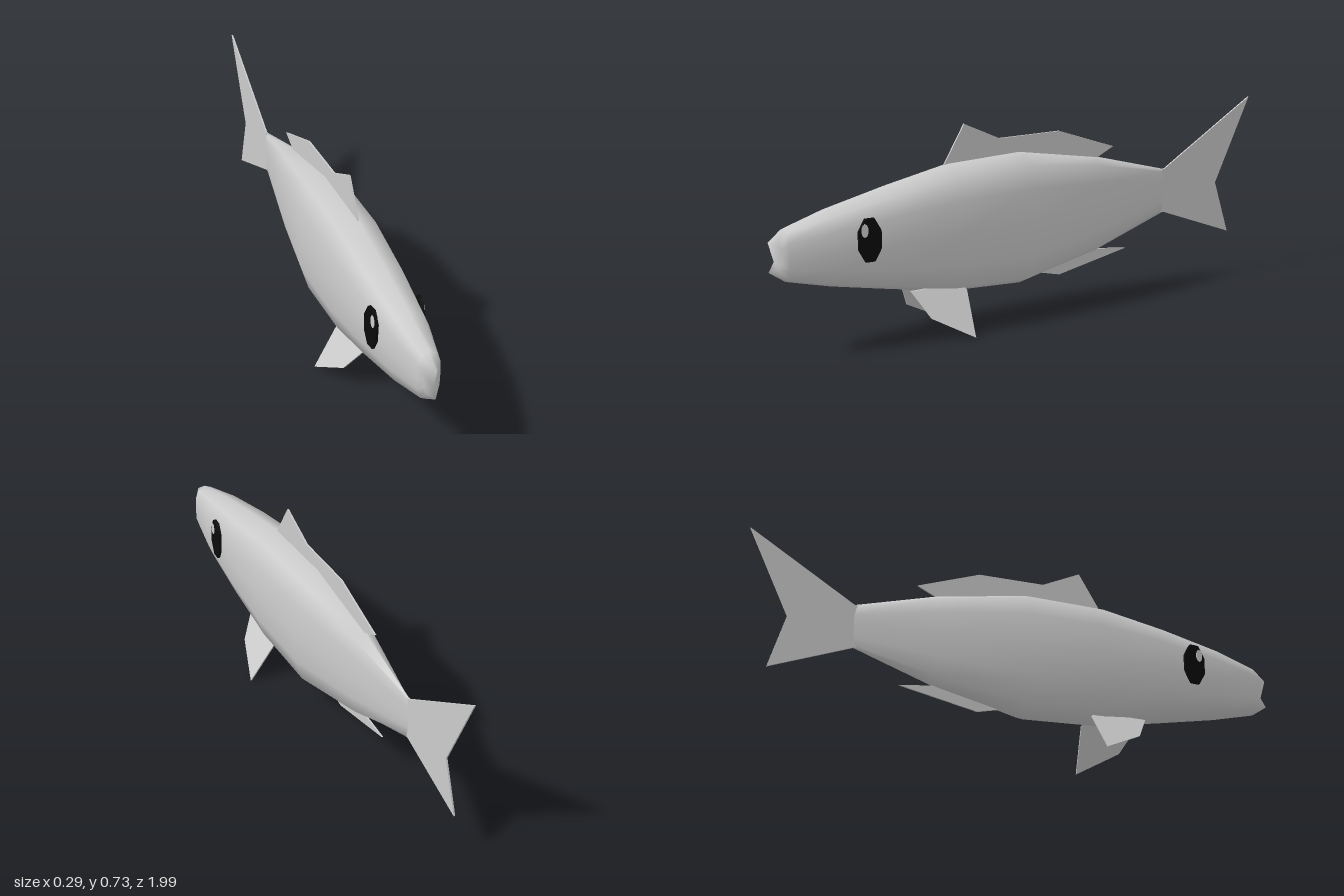
import * as THREE from 'three';

const grey = new THREE.MeshStandardMaterial({ color: 0xcccccc, side: THREE.DoubleSide });
const black = new THREE.MeshStandardMaterial({ color: 0x0a0a0a });

function addMesh(parent, name, geometry, material = grey) {
  const mesh = new THREE.Mesh(geometry, material);
  mesh.name = name;
  parent.add(mesh);
  return mesh;
}

// Body lofted through rings from snout to tail root
function bodyGeometry() {
  // z, top y, bottom y, half width
  const sections = [
    [0.995, 0.425, 0.32, 0.027],
    [0.935, 0.467, 0.278, 0.041],
    [0.77, 0.513, 0.234, 0.073],
    [0.55, 0.56, 0.187, 0.094],
    [0.31, 0.603, 0.138, 0.105],
    [0.02, 0.607, 0.12, 0.1],
    [-0.31, 0.543, 0.19, 0.055],
    [-0.61, 0.455, 0.29, 0.003],
  ];
  const half = [[0, 1], [0.67, 0.86], [0.96, 0.52], [1, 0], [0.96, -0.48], [0.67, -0.86], [0, -1]];
  const ring = [...half, ...half.slice(1, -1).reverse().map(([x, y]) => [-x, y])];
  const n = ring.length;
  const positions = [], index = [];
  sections.forEach(([z, top, bottom, w], i) => {
    const mid = (top + bottom) / 2, h = (top - bottom) / 2;
    for (const [x, y] of ring) {
      // the lips sweep back towards the mouth corners
      const sweep = i === 0 ? 0.04 * Math.abs(x) : 0;
      positions.push(x * w, mid + y * h, z - sweep);
    }
  });
  const mouth = sections.length * n, tail = mouth + 1;
  positions.push(0, 0.355, 0.975, 0, 0.37, -0.61);
  const last = (sections.length - 1) * n;
  for (let j = 0; j < n; j++) {
    const k = (j + 1) % n;
    for (let i = 0; i < last; i += n) {
      index.push(i + j, i + k, i + n + j, i + k, i + n + k, i + n + j);
    }
    index.push(mouth, k, j, tail, last + j, last + k);
  }
  const g = new THREE.BufferGeometry();
  g.setAttribute('position', new THREE.Float32BufferAttribute(positions, 3));
  g.setIndex(index);
  g.computeVertexNormals();
  return g;
}

// Thin fin cut from an outline of [z, y] points
function finGeometry(outline, thickness = 0.006) {
  const shape = new THREE.Shape(outline.map(([z, y]) => new THREE.Vector2(z, y)));
  const g = new THREE.ExtrudeGeometry(shape, { depth: thickness, bevelEnabled: false });
  return g.rotateY(-Math.PI / 2).translate(thickness / 2, 0, 0);
}

// Paired lower fin, sheared outwards as it drops
function pelvicGeometry(side) {
  const g = finGeometry([[0.48, 0.175], [0.43, 0.083], [0.283, 0.002], [0.265, 0.15], [0.28, 0.175]]);
  const p = g.attributes.position;
  for (let i = 0; i < p.count; i++) {
    p.setX(i, p.getX(i) + side * (0.033 + (0.175 - p.getY(i)) * 0.63));
  }
  g.computeVertexNormals();
  return g;
}

// Flat oval disc facing sideways
function discGeometry(sides, halfLength, halfHeight, depth) {
  return new THREE.CylinderGeometry(1, 1, depth, sides)
    .rotateY(Math.PI / sides)
    .rotateZ(Math.PI / 2)
    .scale(1, halfHeight, halfLength);
}

export function createModel() {
  const fish = new THREE.Group();
  fish.name = 'fish';

  addMesh(fish, 'body', bodyGeometry());

  addMesh(fish, 'tailFin', finGeometry([
    [-0.6, 0.455], [-0.61, 0.455], [-0.995, 0.685], [-0.848, 0.37], [-0.91, 0.17], [-0.61, 0.29], [-0.6, 0.29],
  ]));
  addMesh(fish, 'dorsalFin', finGeometry([
    [0.325, 0.598], [0.243, 0.735], [0.1, 0.665], [-0.147, 0.66], [-0.38, 0.573], [-0.31, 0.54], [0, 0.59],
  ]));
  addMesh(fish, 'analFin', finGeometry([
    [-0.06, 0.145], [-0.15, 0.122], [-0.44, 0.177], [-0.31, 0.195], [-0.18, 0.18],
  ]));

  for (const [label, side] of [['left', 1], ['right', -1]]) {
    addMesh(fish, label + 'PelvicFin', pelvicGeometry(side));

    // Eye with a small highlight, angled along the cheek
    const eye = new THREE.Group();
    eye.name = label + 'Eye';
    eye.position.set(side * 0.086, 0.403, 0.66);
    eye.rotation.y = side * -0.1;
    addMesh(eye, 'pupil', discGeometry(8, 0.045, 0.082, 0.012), black);
    addMesh(eye, 'highlight', discGeometry(10, 0.013, 0.024, 0.004))
      .position.set(side * 0.006, 0.036, 0.019);
    fish.add(eye);
  }
  return fish;
}
